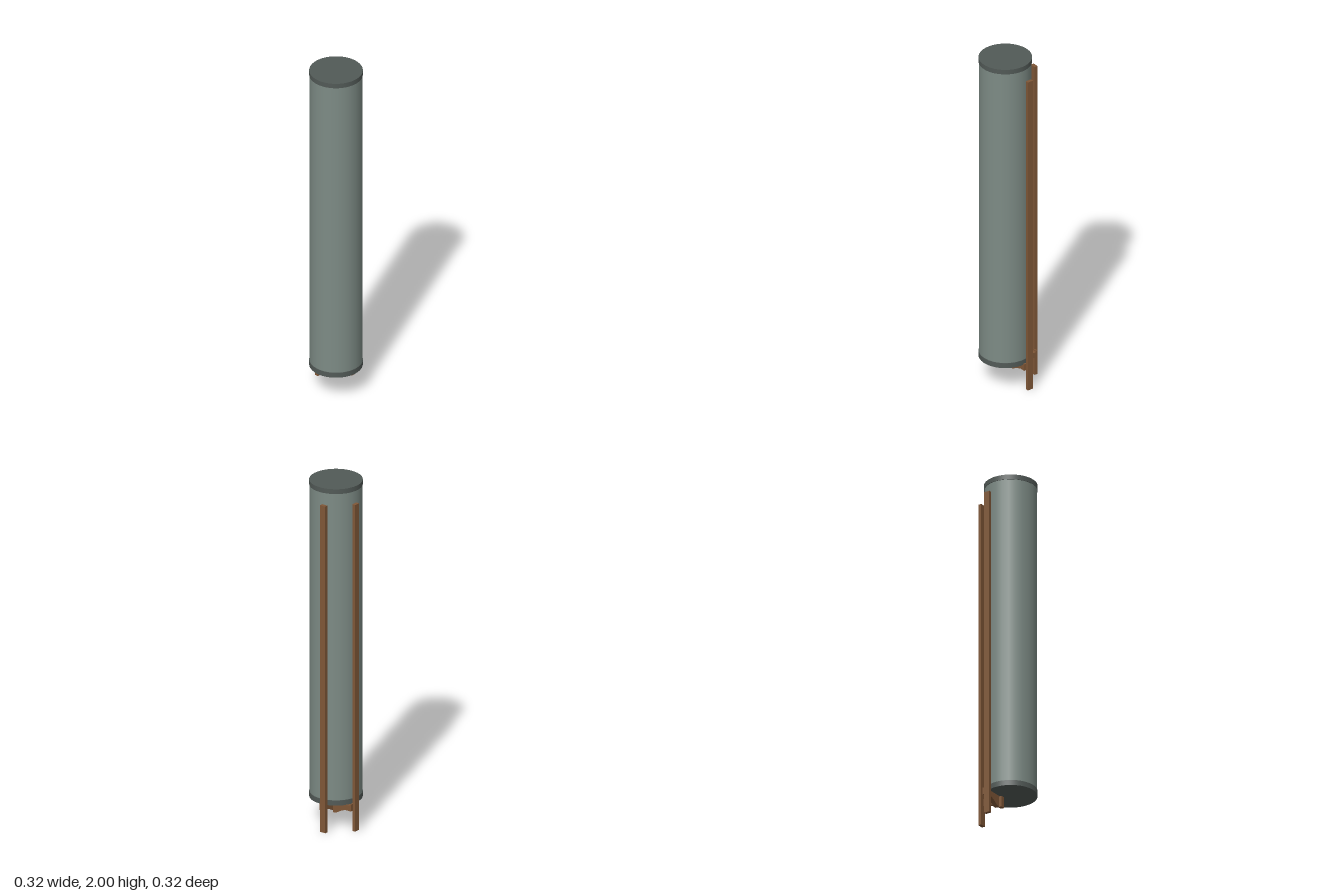
import * as THREE from 'three';

export function createModel() {
  const group = new THREE.Group();
  const mat = (name, color) => {
    const m = new THREE.MeshStandardMaterial({ color });
    m.name = name;
    return m;
  };
  const shell = mat('grey green', 0x7d8b85);
  const dark = mat('dark grey', 0x525a57);
  const wood = mat('brown', 0x805737);

  const add = (name, geometry, material, x, y, z) => {
    const mesh = new THREE.Mesh(geometry, material);
    mesh.name = name;
    mesh.position.set(x, y, z);
    group.add(mesh);
    return mesh;
  };

  // Upright tube with a dark cap at each end
  const cx = 0.0135, cz = 0.0125, r = 0.145;
  add('tubeBody', new THREE.CylinderGeometry(r - 0.002, r - 0.002, 1.81, 24, 1, true), shell, cx, 1.075, cz);
  add('topCap', new THREE.CylinderGeometry(r, r, 0.028, 64), dark, cx, 1.986, cz);
  add('bottomCap', new THREE.CylinderGeometry(r, r, 0.03, 64), dark, cx, 0.165, cz);

  // Two tall posts, one beside and one behind the tube
  add('sidePost', new THREE.BoxGeometry(0.019, 1.91, 0.035), wood, -0.1505, 0.955, -0.0275);
  add('backPost', new THREE.BoxGeometry(0.035, 1.91, 0.019), wood, -0.0275, 0.955, -0.1505);

  // Bracket profile: thin at the post, deeper under the tube
  const profile = new THREE.Shape();
  profile.moveTo(-0.145, 0.12);
  profile.lineTo(-0.11, 0.12);
  profile.quadraticCurveTo(-0.085, 0.115, -0.045, 0.088);
  profile.lineTo(-0.025, 0.086);
  profile.lineTo(-0.025, 0.151);
  profile.lineTo(-0.137, 0.151);
  profile.lineTo(-0.137, 0.16);
  profile.lineTo(-0.145, 0.16);
  const bracket = new THREE.ExtrudeGeometry(profile, { depth: 0.026, bevelEnabled: false, curveSegments: 5 });
  add('sideBracket', bracket, wood, 0, 0, -0.063);
  // Turned so its length runs along z
  add('backBracket', bracket, wood, 0.005, 0, 0).rotation.y = -Math.PI / 2;

  return group;
}
